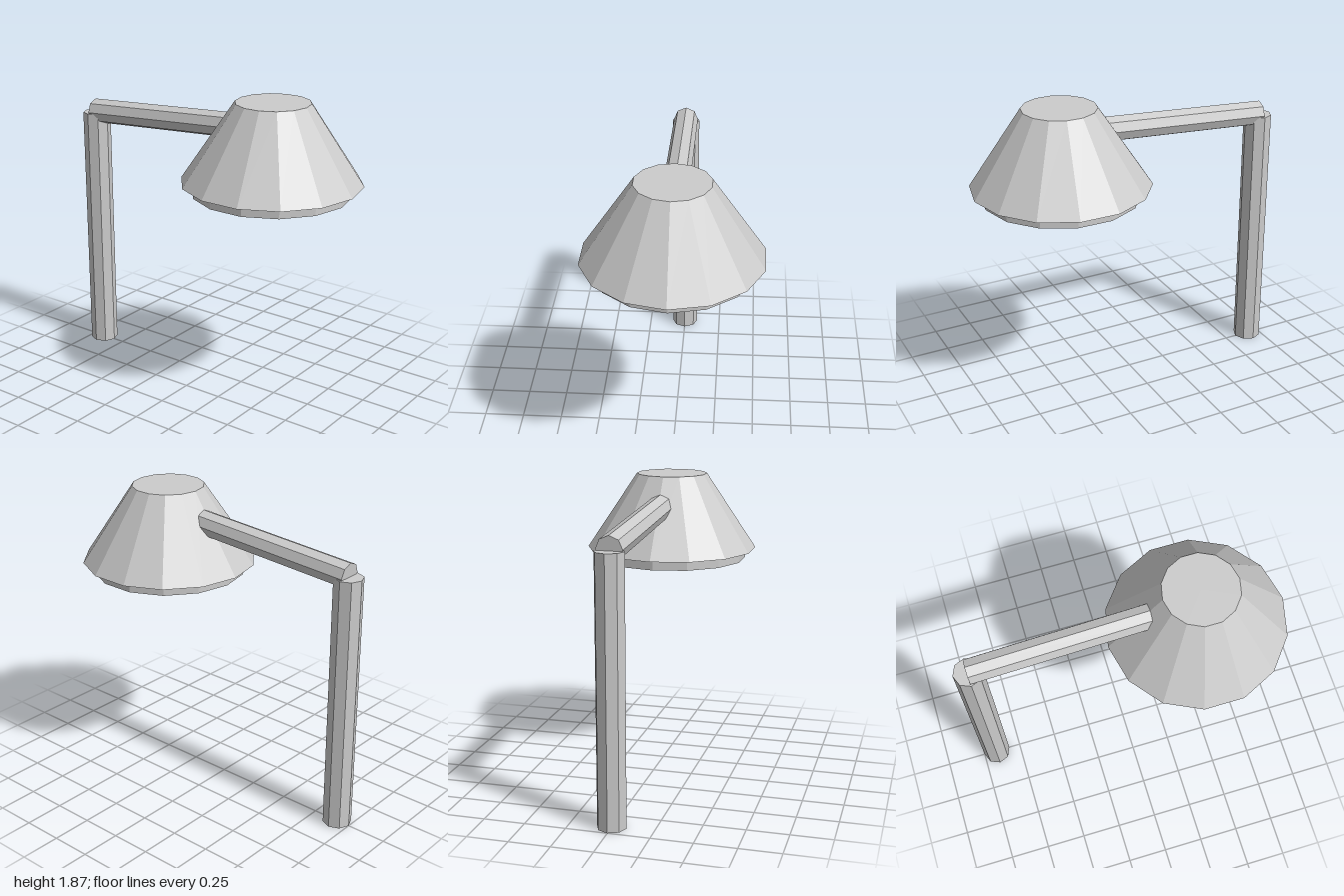
import * as THREE from 'three';

const material = new THREE.MeshStandardMaterial({ color: 0xcccccc, flatShading: true });

// Flat-shaded prism or frustum with its axis running from one point to another
function prism(name, from, to, rFrom, rTo, sides) {
  const axis = to.clone().sub(from);
  const mesh = new THREE.Mesh(new THREE.CylinderGeometry(rTo, rFrom, axis.length(), sides), material);
  mesh.name = name;
  mesh.position.copy(from).add(to).multiplyScalar(0.5);
  mesh.quaternion.setFromUnitVectors(new THREE.Vector3(0, 1, 0), axis.normalize());
  return mesh;
}

export function createModel() {
  const at = (y, z) => new THREE.Vector3(0, y, z);
  const lampZ = 0.455, postZ = -0.912;
  const group = new THREE.Group();
  group.name = 'lamp';
  group.add(
    // Upright post and the slightly rising arm that runs into the shade
    prism('post', at(0, postZ), at(1.605, postZ), 0.088, 0.088, 8),
    prism('arm', at(1.613, -0.915), at(1.69, 0.25), 0.078, 0.078, 8),
    // Conical shade with the recessed disc below it
    prism('shade', at(1.385, lampZ), at(1.865, lampZ), 0.545, 0.225, 14),
    prism('lightDisc', at(1.32, lampZ), at(1.385, lampZ), 0.48, 0.48, 14),
  );
  return group;
}
